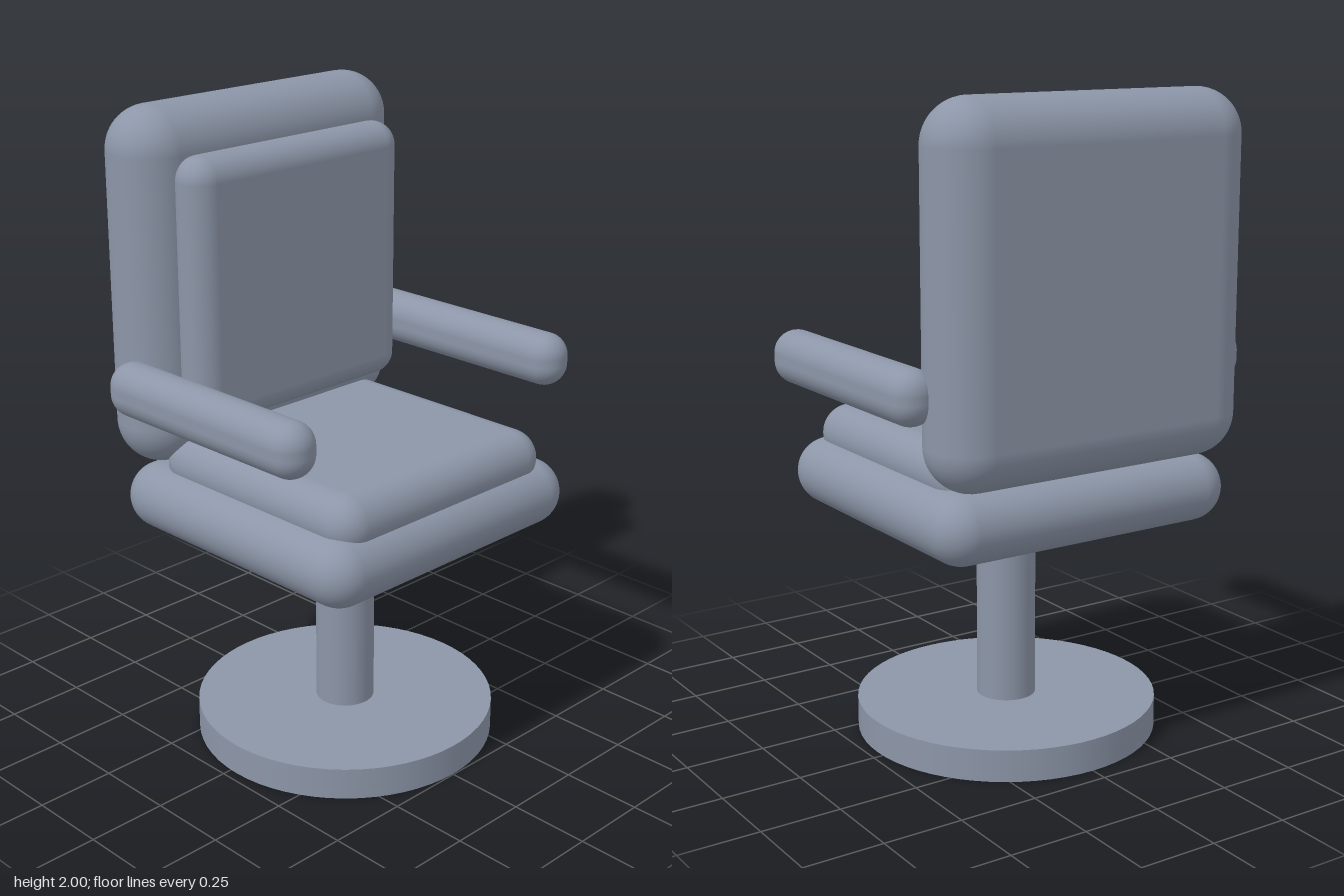
import * as THREE from 'three';
import { RoundedBoxGeometry } from 'three/addons/geometries/RoundedBoxGeometry.js';

export function createModel() {
  const chair = new THREE.Group();
  chair.name = 'swivelChair';
  const slateGrey = new THREE.MeshStandardMaterial({ color: 0x8c96a8 });
  slateGrey.name = 'slateGrey';

  function add(name, geometry, x, y, z) {
    const mesh = new THREE.Mesh(geometry, slateGrey);
    mesh.name = name;
    mesh.position.set(x, y, z);
    chair.add(mesh);
  }

  // Padded block given by its extents on each axis
  function pad(name, [x0, x1], [y0, y1], [z0, z1], radius) {
    const geometry = new RoundedBoxGeometry(x1 - x0, y1 - y0, z1 - z0, 8, radius);
    add(name, geometry, (x0 + x1) / 2, (y0 + y1) / 2, (z0 + z1) / 2);
  }

  // Pedestal: round foot and post
  add('base', new THREE.CylinderGeometry(0.47, 0.47, 0.1, 64), 0, 0.05, 0.027);
  add('post', new THREE.CylinderGeometry(0.092, 0.092, 0.66, 48), 0, 0.42, 0.027);

  // Seat and its cushion
  pad('seat', [-0.51, 0.51], [0.695, 0.905], [-0.46, 0.515], 0.105);
  pad('seatCushion', [-0.435, 0.435], [0.83, 1.01], [-0.35, 0.47], 0.09);

  // Backrest and its cushion
  pad('backrest', [-0.52, 0.52], [0.91, 2.0], [-0.513, -0.245], 0.134);
  pad('backCushion', [-0.42, 0.42], [1.05, 1.87], [-0.285, -0.137], 0.074);

  // Armrests
  pad('leftArmrest', [0.467, 0.608], [1.105, 1.27], [-0.38, 0.427], 0.07);
  pad('rightArmrest', [-0.608, -0.467], [1.105, 1.27], [-0.38, 0.427], 0.07);

  return chair;
}
